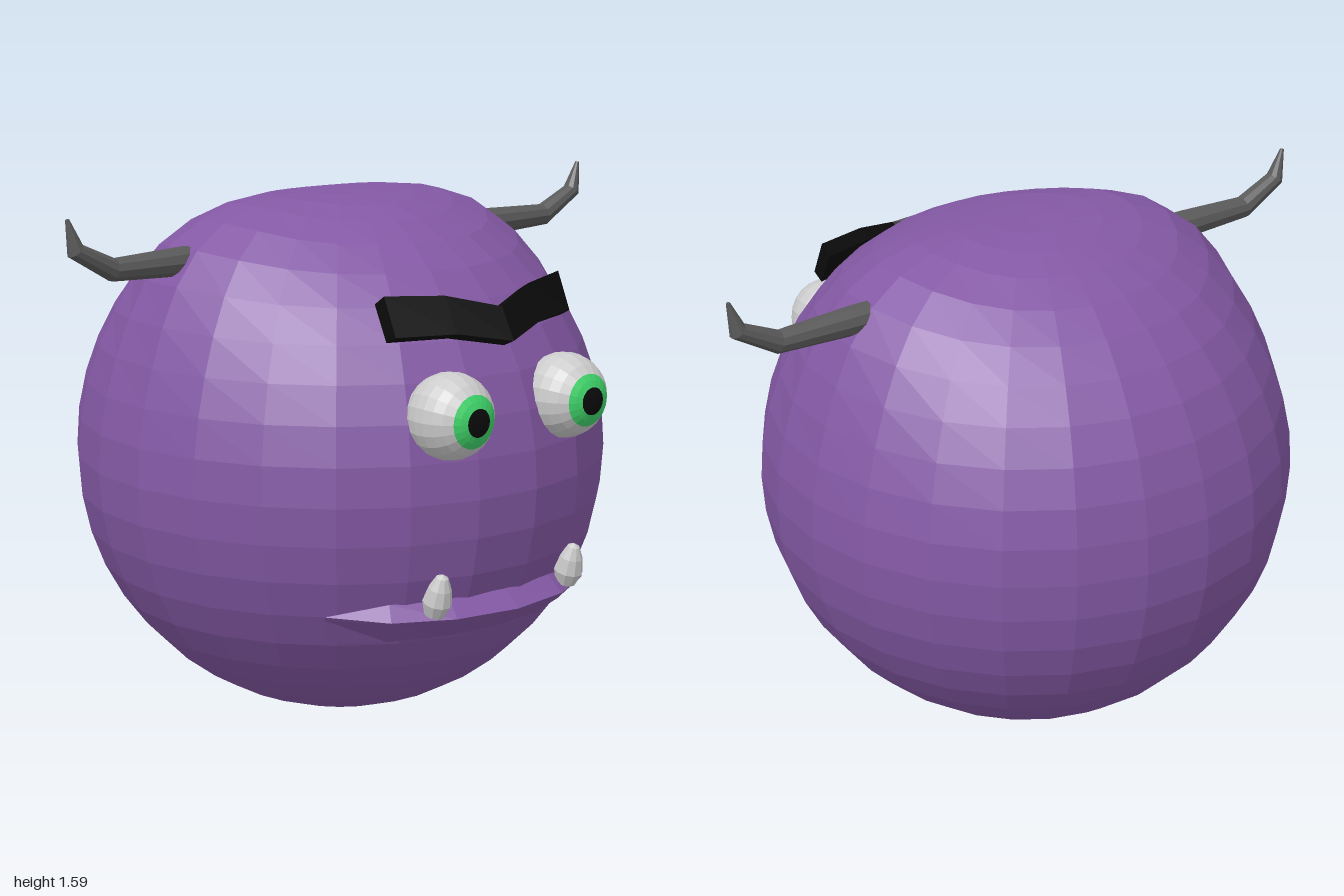
import * as THREE from 'three';

const mat = (color) => new THREE.MeshStandardMaterial({ color, flatShading: true });
const PURPLE = mat(0x8459a5), HORN = mat(0x5a5a5a), BLACK = mat(0x0b0b0b);
const GREEN = mat(0x3fd46a), GREY = mat(0xcccccc);
const rad = THREE.MathUtils.degToRad;

function part(parent, name, geometry, material) {
  const mesh = new THREE.Mesh(geometry, material);
  mesh.name = name;
  parent.add(mesh);
  return mesh;
}

// Skin a row of rings (counter-clockwise about the sweep direction), capped at both ends
function loft(rings) {
  const n = rings[0].length, index = [], last = (rings.length - 1) * n;
  for (let i = 0; i < rings.length - 1; i++) {
    for (let j = 0; j < n; j++) {
      const a = i * n + j, b = i * n + (j + 1) % n;
      index.push(a, b, b + n, a, b + n, a + n);
    }
  }
  for (let j = 1; j < n - 1; j++) {
    index.push(0, j + 1, j, last, last + j, last + j + 1);
  }
  const g = new THREE.BufferGeometry();
  g.setAttribute('position', new THREE.Float32BufferAttribute(rings.flat(2), 3));
  g.setIndex(index);
  g.computeVertexNormals();
  return g;
}

// Ball with a flattened crown and a swelling beneath each horn
function bodyGeometry() {
  const R = 0.805, g = new THREE.SphereGeometry(R, 24, 22);
  g.rotateY(rad(4.5));
  const p = g.attributes.position, v = new THREE.Vector3();
  const up = new THREE.Vector3(0, 1, 0);
  const swell = [1, -1].map((s) => new THREE.Vector3(0, Math.cos(rad(39)), s * Math.sin(rad(39))));
  const bump = (dir) => Math.exp(-0.5 * (v.angleTo(dir) / rad(15)) ** 2);
  for (let i = 0; i < p.count; i++) {
    v.fromBufferAttribute(p, i);
    const r = R + 0.068 * (bump(swell[0]) + bump(swell[1])) - 0.027 * bump(up);
    v.setLength(r);
    p.setXYZ(i, v.x, v.y, v.z);
  }
  g.computeVertexNormals();
  return g;
}

// Horn running along +z, then bending upward: [z, y, radius, tilt in degrees]
function hornGeometry() {
  const stations = [
    [0.42, 1.425, 0.045, 0], [0.6, 1.427, 0.043, 0], [0.84, 1.428, 0.034, 14],
    [0.965, 1.495, 0.027, 52], [0.99, 1.585, 0.006, 75],
  ];
  return loft(stations.map(([z, y, r, tilt]) => {
    const ring = [], t = rad(tilt);
    for (let k = 0; k < 10; k++) {
      const a = (k / 10) * Math.PI * 2, n = r * Math.sin(a);
      ring.push([r * Math.cos(a), y + n * Math.cos(t), z - n * Math.sin(t)]);
    }
    return ring;
  }));
}

// Single angry brow: four-cornered sections lying on the forehead
function browGeometry() {
  const end = [[0.56, 1.38], [0.52, 1.352], [0.57, 1.25], [0.61, 1.27]];
  const bend = [[0.617, 1.37], [0.575, 1.345], [0.63, 1.25], [0.67, 1.268]];
  const middle = [[0.68, 1.33], [0.635, 1.31], [0.69, 1.22], [0.73, 1.238]];
  const rows = [[-0.335, end], [-0.16, bend], [0, middle], [0.16, bend], [0.335, end]];
  return loft(rows.map(([z, s]) => s.map(([x, y]) => [x, y, z])));
}

// Jutting lower lip swept round the body: [angle, outer radius, top height, lower radius]
function lipGeometry() {
  const half = [[0, 0.8, 0.51, 0.7], [15, 0.793, 0.51, 0.7], [29, 0.775, 0.508, 0.7], [43, 0.735, 0.475, 0.695]];
  const rows = [...half.slice(1).reverse().map(([a, ...r]) => [-a, ...r]), ...half];
  return loft(rows.map(([a, outer, top, low]) => {
    const c = Math.cos(rad(a)), s = Math.sin(rad(a));
    return [[0.745, top], [0.6, 0.45], [low, 0.385], [outer, 0.462]].map(([r, y]) => [r * c, y, r * s]);
  }));
}

// Eye facing +x, split into white, iris and pupil bands
function makeEye(name) {
  const eye = new THREE.Group();
  eye.name = name;
  const bands = [['pupil', 0, 19, 2, BLACK], ['iris', 19, 38, 2, GREEN], ['eyeWhite', 38, 180, 10, GREY]];
  for (const [label, from, to, rows, material] of bands) {
    const g = new THREE.SphereGeometry(0.125, 20, rows, 0, Math.PI * 2, rad(from), rad(to - from));
    part(eye, label, g.rotateZ(-Math.PI / 2), material);
  }
  return eye;
}

export function createModel() {
  const root = new THREE.Group();
  root.name = 'hornedMonster';
  const CX = -0.035, CZ = 0.02;

  part(root, 'body', bodyGeometry(), PURPLE).position.set(CX, 0.805, CZ);
  part(root, 'lowerLip', lipGeometry(), PURPLE).position.set(CX, 0, CZ);
  part(root, 'brow', browGeometry(), BLACK).position.z = CZ;

  // Egg-shaped tusk profile
  const tuskProfile = [[0, 0], [0.03, 0.01], [0.043, 0.05], [0.034, 0.095], [0.018, 0.13], [0, 0.14]]
    .map(([x, y]) => new THREE.Vector2(x, y));

  for (const [side, s] of [['back', -1], ['front', 1]]) {
    const eye = makeEye(side + 'Eye');
    eye.position.set(0.71, 1.05, CZ + s * 0.22);
    root.add(eye);

    const tusk = part(root, side + 'Tusk', new THREE.LatheGeometry(tuskProfile, 10), GREY);
    tusk.position.set(0.69, 0.468, CZ + s * 0.258);
    tusk.rotation.z = -0.27;

    const horn = part(root, side + 'Horn', hornGeometry(), HORN);
    horn.position.x = -0.05;
    horn.rotation.y = s > 0 ? 0 : Math.PI;
  }
  return root;
}
